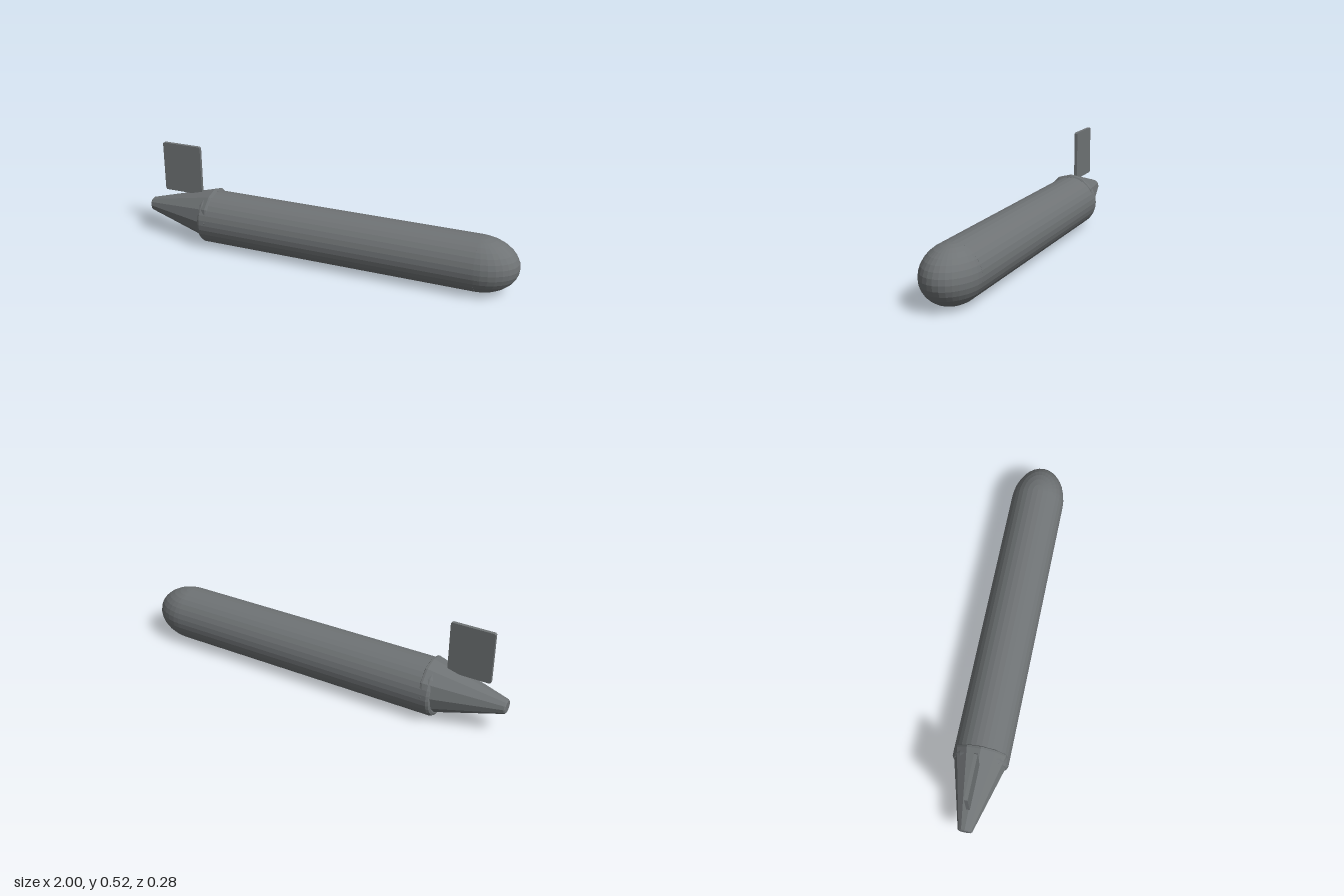
import * as THREE from 'three';

const material = new THREE.MeshStandardMaterial({ color: 0x6f7375, flatShading: true });

// Closed solid of revolution along x from [x, radius] pairs, tail to nose
function turned(name, profile, sides, y) {
  const points = profile.map(([x, r]) => new THREE.Vector2(r, x));
  const geometry = new THREE.LatheGeometry(points, sides);
  geometry.rotateZ(-Math.PI / 2);
  const mesh = new THREE.Mesh(geometry, material);
  mesh.name = name;
  mesh.position.y = y;
  return mesh;
}

// Upright plate with clipped corners, centred on z = 0
function plate(name, x0, x1, y0, y1, thickness, clip) {
  const shape = new THREE.Shape([
    [x0 + clip, y0], [x1 - clip, y0], [x1, y0 + clip], [x1, y1 - clip],
    [x1 - clip, y1], [x0 + clip, y1], [x0, y1 - clip], [x0, y0 + clip],
  ].map(([x, y]) => new THREE.Vector2(x, y)));
  const geometry = new THREE.ExtrudeGeometry(shape, { depth: thickness, bevelEnabled: false });
  geometry.translate(0, 0, -thickness / 2);
  const mesh = new THREE.Mesh(geometry, material);
  mesh.name = name;
  return mesh;
}

export function createModel() {
  const model = new THREE.Group();
  model.name = 'torpedoPod';
  const axisY = 0.141;

  // Long tube with a softened tail edge
  model.add(turned('body', [
    [-0.665, 0], [-0.665, 0.123], [-0.66, 0.134], [-0.648, 0.14],
    [0.807, 0.14], [0.807, 0],
  ], 32, axisY));

  // Stretched round nose
  const nose = new THREE.Mesh(new THREE.SphereGeometry(0.14, 32, 16), material);
  nose.name = 'nose';
  nose.scale.x = 0.2 / 0.14;
  nose.position.set(0.8, axisY, 0);
  model.add(nose);

  // Twelve-sided tail cone, set slightly above the body axis
  model.add(turned('tailCone', [
    [-1, 0], [-1, 0.03], [-0.995, 0.036], [-0.62, 0.14],
    [-0.61, 0.139], [-0.605, 0.13], [-0.605, 0],
  ], 12, 0.154));

  // Upright fin plate
  model.add(plate('tailFin', -0.911, -0.693, 0.254, 0.518, 0.017, 0.006));

  return model;
}
